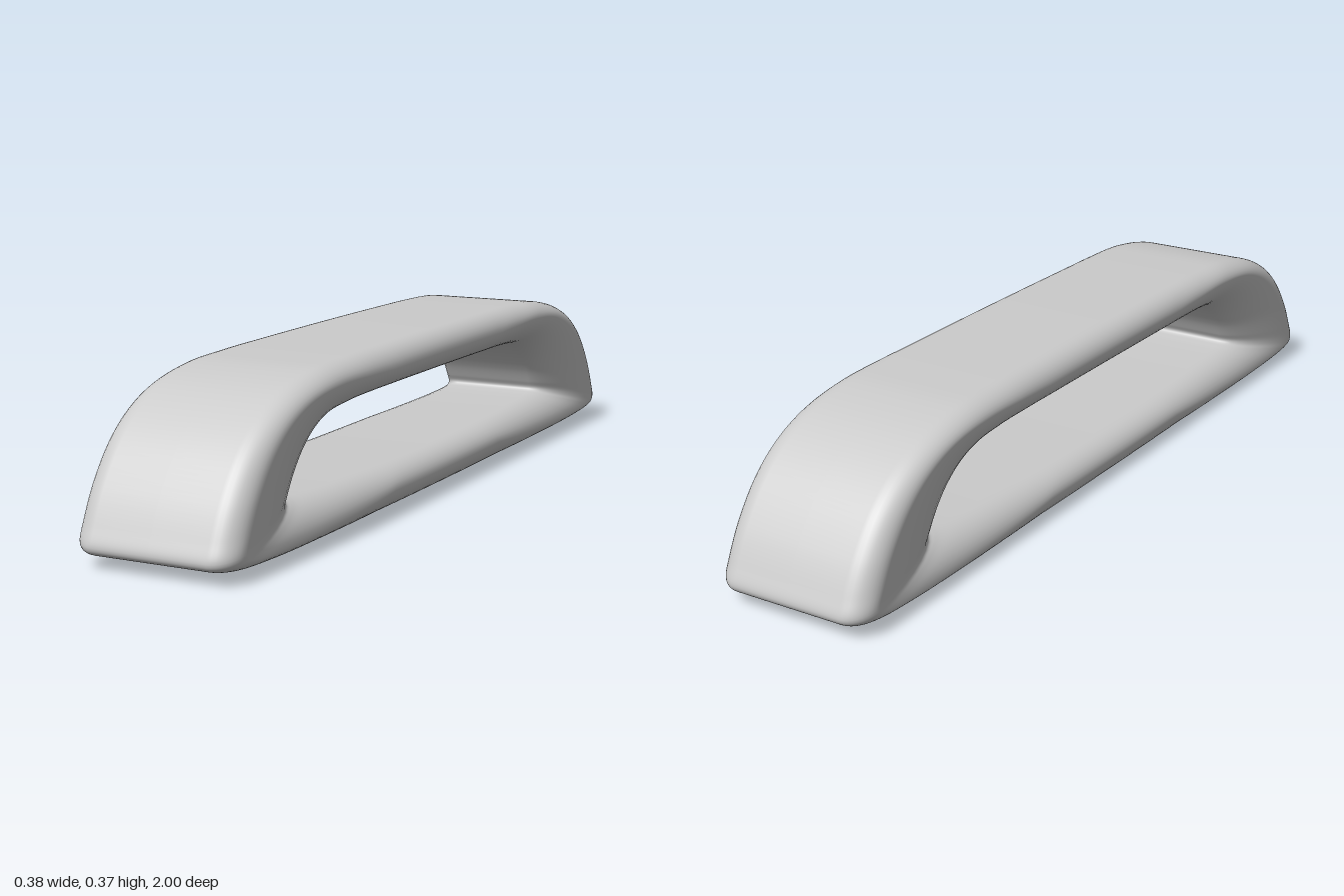
import * as THREE from 'three';

const HALF_WIDTH = 0.188;

// Half outlines as [z, y], from top centre round the end to bottom centre; points pair up.
const OUTER = [[0, 0.373], [0.3, 0.372], [0.46, 0.37], [0.6, 0.363], [0.73, 0.336], [0.82, 0.295], [0.89, 0.239],
  [0.95, 0.16], [0.985, 0.09], [0.999, 0.05], [0.992, 0.036], [0.96, 0.026], [0.85, 0.016], [0.62, 0.008], [0.3, 0.003], [0, 0.002]];
const INNER = [[0, 0.278], [0.22, 0.277], [0.35, 0.275], [0.45, 0.27], [0.52, 0.261], [0.57, 0.242], [0.614, 0.211],
  [0.65, 0.17], [0.672, 0.135], [0.681, 0.118], [0.677, 0.111], [0.655, 0.107], [0.59, 0.103], [0.44, 0.099], [0.22, 0.096], [0, 0.095]];

// Mirror a half outline in z into a smooth closed curve.
function closedCurve(half) {
  const mirrored = half.slice(1, -1).reverse().map(([z, y]) => [-z, y]);
  const points = [...half, ...mirrored].map(([z, y]) => new THREE.Vector3(0, y, z));
  return new THREE.CatmullRomCurve3(points, true, 'centripetal');
}

// Rounded band section as [x, depth]: depth 0 on the outer face, 1 on the inner face.
function bandSection(thickness) {
  const steps = 9;
  const outerDepth = Math.min(0.5, 0.065 / thickness);
  const outerR = 0.055;
  const innerR = 0.06 + 0.1 * Math.max(0, thickness - 0.1);
  const side = [];
  for (let i = 0; i <= steps; i++) {
    const a = (i / steps) * Math.PI / 2;
    side.push([HALF_WIDTH - outerR * (1 - Math.sin(a)), outerDepth * (1 - Math.cos(a))]);
  }
  for (let i = 1; i <= steps; i++) {
    const a = (i / steps) * Math.PI / 2;
    side.push([HALF_WIDTH - innerR * (1 - Math.cos(a)), outerDepth + (1 - outerDepth) * Math.sin(a)]);
  }
  const otherSide = side.map(([x, d]) => [-x, d]).reverse();
  return [[0, 0], ...side, [0, 1], ...otherSide];
}

// Loft the section around the loop between the two outlines.
function bandGeometry(rings) {
  const outer = closedCurve(OUTER);
  const inner = closedCurve(INNER);
  const positions = [];
  const indices = [];
  let count = 0;
  for (let i = 0; i < rings; i++) {
    const o = outer.getPoint(i / rings);
    const n = inner.getPoint(i / rings);
    const section = bandSection(o.distanceTo(n));
    count = section.length;
    for (const [x, d] of section) {
      positions.push(x, THREE.MathUtils.lerp(o.y, n.y, d), THREE.MathUtils.lerp(o.z, n.z, d));
    }
  }
  for (let i = 0; i < rings; i++) {
    const next = (i + 1) % rings;
    for (let j = 0; j < count; j++) {
      const k = (j + 1) % count;
      const a = i * count + j, b = next * count + j;
      const c = next * count + k, e = i * count + k;
      indices.push(a, b, c, a, c, e);
    }
  }
  const geometry = new THREE.BufferGeometry();
  geometry.setAttribute('position', new THREE.Float32BufferAttribute(positions, 3));
  geometry.setIndex(indices);
  geometry.computeVertexNormals();
  return geometry;
}

export function createModel() {
  const group = new THREE.Group();
  group.name = 'pullHandle';
  const material = new THREE.MeshStandardMaterial({ color: 0xcccccc });
  const band = new THREE.Mesh(bandGeometry(240), material);
  band.name = 'handleLoop';
  group.add(band);
  return group;
}
